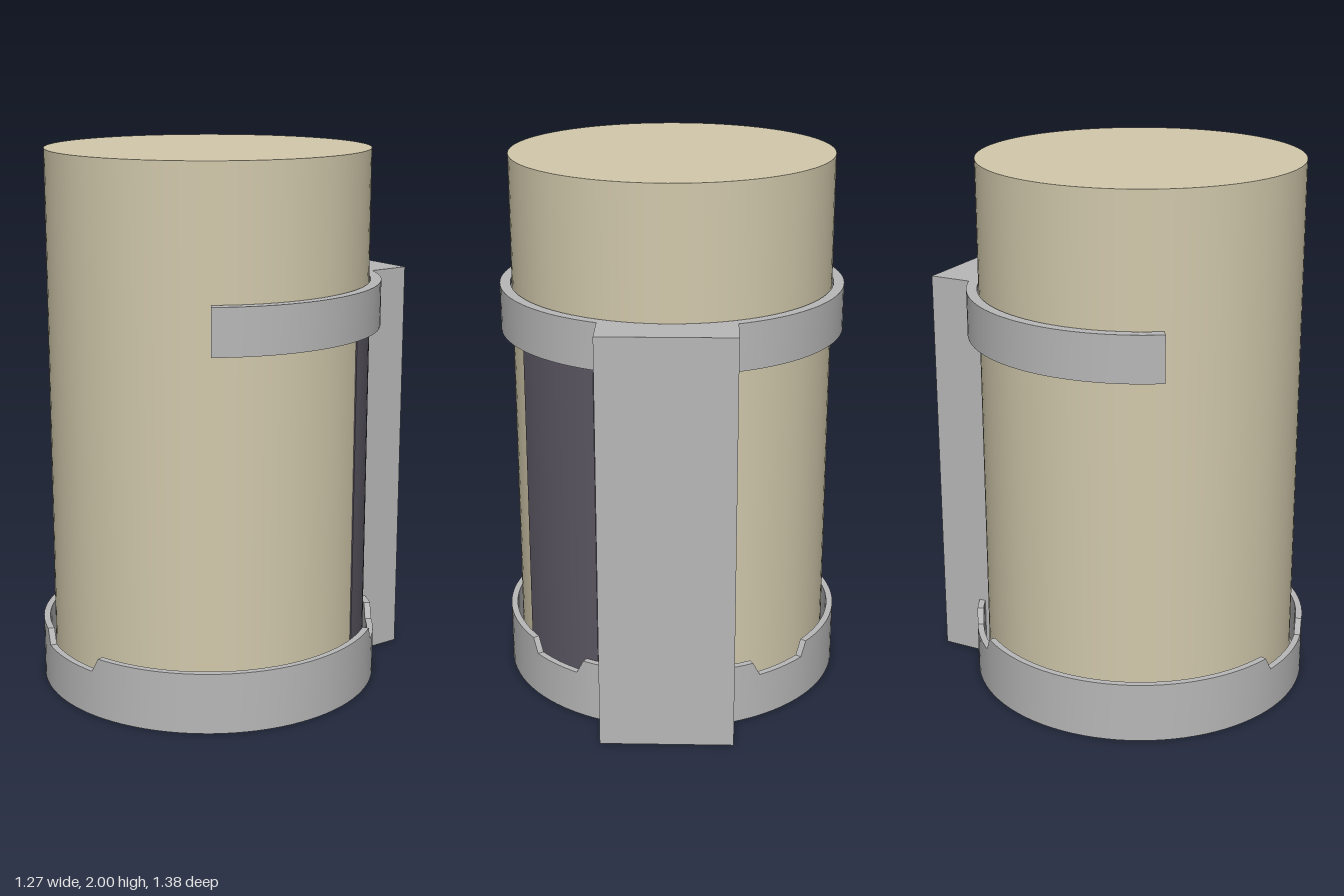
import * as THREE from 'three';
import { toCreasedNormals } from 'three/addons/utils/BufferGeometryUtils.js';

const CZ = 0.055;              // z of the cylinder axis
const DEG = Math.PI / 180;

// Sweep a counter-clockwise [radius, y] section around the axis.
// Angles are in degrees, measured from the front (+z) towards +x.
function sweep(angles, section, closed) {
  const pos = [];
  const point = (a, [r, y]) => [r * Math.sin(a * DEG), y, CZ + r * Math.cos(a * DEG)];
  for (let i = 0; i < angles.length - 1; i++) {
    const s = section(angles[i]), t = section(angles[i + 1]);
    for (let j = 0; j < s.length; j++) {
      const k = (j + 1) % s.length;
      const a = point(angles[i], s[j]), b = point(angles[i + 1], t[j]);
      const c = point(angles[i + 1], t[k]), d = point(angles[i], s[k]);
      pos.push(...a, ...b, ...c, ...a, ...c, ...d);
    }
  }
  if (!closed) {
    // flat end caps
    for (const [angle, flip] of [[angles[0], false], [angles[angles.length - 1], true]]) {
      const s = section(angle);
      const tris = THREE.ShapeUtils.triangulateShape(s.map(([r, y]) => new THREE.Vector2(r, y)), []);
      for (const tri of tris) {
        for (const v of flip ? [...tri].reverse() : tri) pos.push(...point(angle, s[v]));
      }
    }
  }
  const geo = new THREE.BufferGeometry();
  geo.setAttribute('position', new THREE.Float32BufferAttribute(pos, 3));
  return toCreasedNormals(geo, 0.35);
}

function range(from, to, count) {
  return Array.from({ length: count + 1 }, (_, i) => from + (to - from) * i / count);
}

export function createModel() {
  const model = new THREE.Group();
  const material = (name, color) => {
    const m = new THREE.MeshStandardMaterial({ color });
    m.name = name;
    return m;
  };
  const beige = material('beige', 0xd2c9ac);
  const grey = material('grey', 0xb8b8b8);
  const dark = material('dark slate', 0x5c5864);
  const add = (name, geo, mat) => {
    const mesh = new THREE.Mesh(geo, mat);
    mesh.name = name;
    model.add(mesh);
    return mesh;
  };

  // Main cylinder resting on the cup floor
  const body = add('cylinderBody', new THREE.CylinderGeometry(0.591, 0.591, 1.96, 96), beige);
  body.position.set(0, 1.02, CZ);

  // Base cup: floor with a round hole, wall with three tapered notches
  const notches = [
    { at: 0, top: 16.5, bottom: 13.7 },
    { at: 138.5, top: 12.2, bottom: 9.5 },
    { at: -138.5, top: 12.2, bottom: 9.5 },
  ];
  const wallTop = (angle) => {
    for (const n of notches) {
      const t = (Math.abs(angle - n.at) - n.bottom) / (n.top - n.bottom);
      if (t < 1) return 0.17 + 0.055 * Math.max(0, t);
    }
    return 0.225;
  };
  const cupAngles = range(-180, 180, 96);
  for (const n of notches) {
    cupAngles.push(n.at - n.top, n.at - n.bottom, n.at + n.bottom, n.at + n.top);
  }
  cupAngles.sort((a, b) => a - b);
  add('baseCup', sweep(cupAngles, (a) => {
    const t = wallTop(a);
    return [[0.305, 0], [0.635, 0], [0.635, t], [0.611, t], [0.611, 0.04], [0.305, 0.04]];
  }, true), grey);

  // Upper clip ring, open at the front, with a small inner lip
  add('clipRing', sweep(range(56, 304, 72), () => [
    [0.611, 1.355], [0.635, 1.355], [0.635, 1.525],
    [0.596, 1.525], [0.596, 1.505], [0.611, 1.495],
  ], false), grey);

  // Back block, hollowed to follow the cylinder
  const w = 0.24, r = 0.596;
  const half = Math.asin(w / r);
  const outline = new THREE.Shape();   // shape y is -z
  outline.moveTo(-w, 0.695);
  outline.lineTo(-w, -CZ + r * Math.cos(half));
  outline.absarc(0, -CZ, r, Math.PI / 2 + half, Math.PI / 2 - half, true);
  outline.lineTo(w, 0.695);
  outline.closePath();
  const block = new THREE.ExtrudeGeometry(outline, { depth: 1.525, bevelEnabled: false, curveSegments: 16 });
  block.rotateX(-Math.PI / 2);
  add('backBlock', block, grey);

  // Dark curved panel beside the block
  add('sidePanel', sweep(range(117.6, 154.3, 14), () => [
    [0.588, 0.04], [0.595, 0.04], [0.595, 1.36], [0.588, 1.36],
  ], false), dark);

  return model;
}
